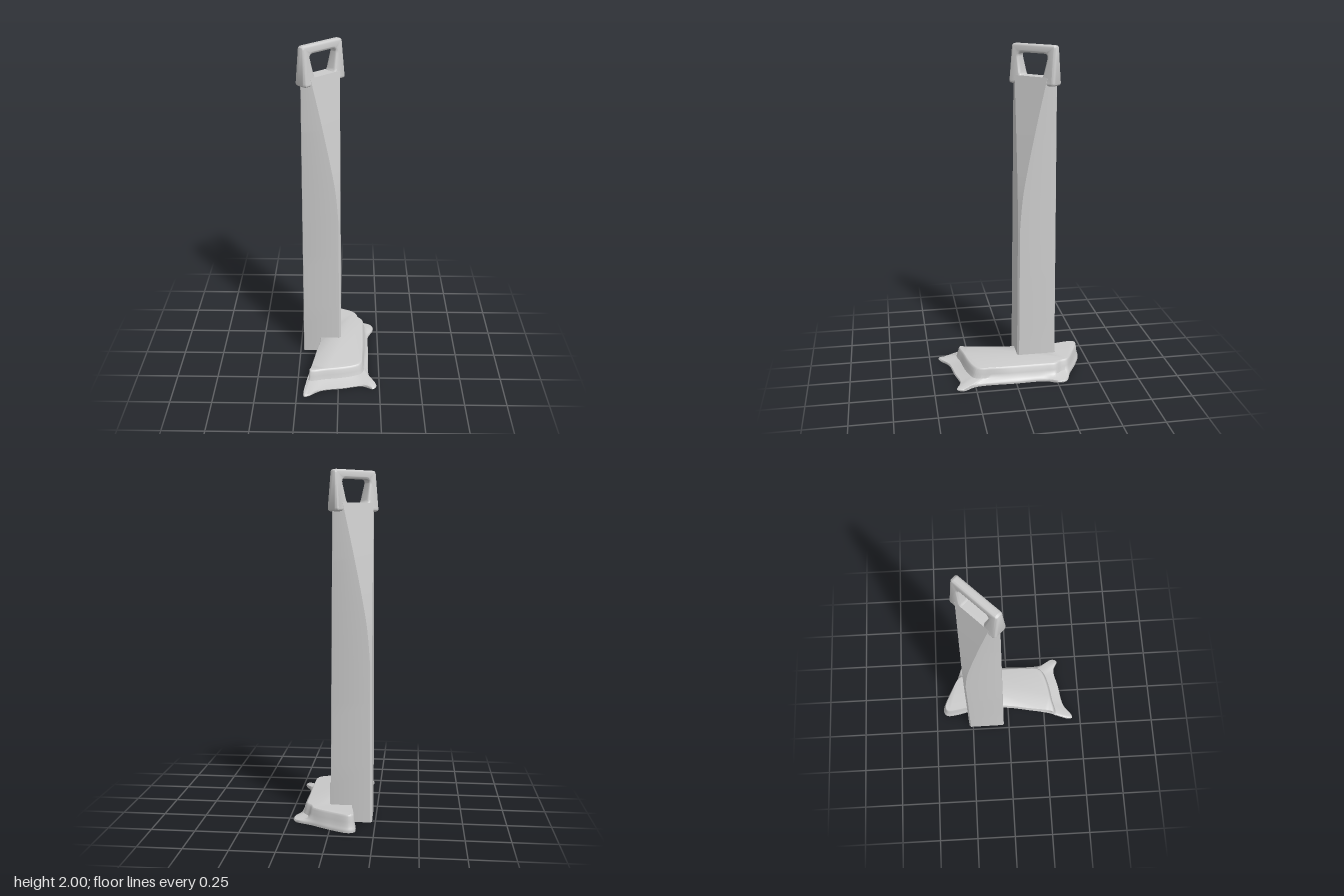
import * as THREE from 'three';
import { mergeVertices, toCreasedNormals } from 'three/addons/utils/BufferGeometryUtils.js';

const material = new THREE.MeshStandardMaterial({ color: 0xcccccc, side: THREE.DoubleSide });

// Joins equal-length rings (ordered x towards z, outer side out) and caps both ends.
function loft(rings, crease) {
  const pos = [];
  const tri = (a, b, c) => pos.push(...a.toArray(), ...b.toArray(), ...c.toArray());
  const n = rings[0].length;
  for (let r = 0; r < rings.length - 1; r++) {
    for (let i = 0; i < n; i++) {
      const j = (i + 1) % n;
      const a = rings[r][i], b = rings[r][j], c = rings[r + 1][i], d = rings[r + 1][j];
      tri(a, c, b);
      tri(b, c, d);
    }
  }
  const cap = (ring, up) => {
    const flat = ring.map(p => new THREE.Vector2(p.x, p.z));
    for (const [i, j, k] of THREE.ShapeUtils.triangulateShape(flat, [])) {
      const a = ring[i], b = ring[j], c = ring[k];
      const ny = (b.z - a.z) * (c.x - a.x) - (b.x - a.x) * (c.z - a.z);
      if ((ny > 0) === up) tri(a, b, c); else tri(a, c, b);
    }
  };
  cap(rings[0], false);
  cap(rings[rings.length - 1], true);
  const geo = new THREE.BufferGeometry();
  geo.setAttribute('position', new THREE.Float32BufferAttribute(pos, 3));
  return toCreasedNormals(mergeVertices(geo, 1e-5), crease);
}

function mesh(name, geo) {
  const m = new THREE.Mesh(geo, material);
  m.name = name;
  return m;
}

// Square post whose two opposite corners are cut back by a curved slope.
function makePost() {
  const slope = [[0, 0.17], [0.7, 0.165], [0.9, 0.157], [1.12, 0.143], [1.3, 0.121],
    [1.44, 0.101], [1.6, 0.077], [1.82, 0.042]];
  const curve = new THREE.SplineCurve(slope.map(([y, w]) => new THREE.Vector2(y, w)));
  const rings = curve.getPoints(42).map(({ x: y, y: w0 }) => {
    const d = 0.171 - 0.008 * y;
    const w = Math.min(w0, d - 0.008);
    const e = 0.009;
    const quarter = [[d - e * 0.6, 0], [d - e, e * 0.8], [d - w, w]];
    const half = [...quarter, ...quarter.slice(1).reverse().map(([u, v]) => [-u, v])];
    const all = [...half, ...half.map(([u, v]) => [-u, -v])];
    return all.map(([u, v]) => new THREE.Vector3(u, y, v));
  });
  return mesh('post', loft(rings, 0.55));
}

// Rounded polygon path
function rounded(path, pts, r) {
  const v = pts.map(p => new THREE.Vector2(...p));
  v.forEach((p, i) => {
    const before = v[(i + v.length - 1) % v.length], after = v[(i + 1) % v.length];
    const a = p.clone().add(before.clone().sub(p).setLength(r));
    const b = p.clone().add(after.clone().sub(p).setLength(r));
    if (i) path.lineTo(a.x, a.y); else path.moveTo(a.x, a.y);
    path.quadraticCurveTo(p.x, p.y, b.x, b.y);
  });
  path.closePath();
  return path;
}

// Grip slab with a hand hole, thinning towards the top.
function makeHandle() {
  const shape = rounded(new THREE.Shape(),
    [[-0.158, 1.77], [0.158, 1.77], [0.152, 2], [-0.152, 2]], 0.02);
  shape.holes.push(rounded(new THREE.Path(),
    [[-0.104, 1.95], [0.104, 1.95], [0.074, 1.81], [-0.074, 1.81]], 0.03));
  const geo = new THREE.ExtrudeGeometry(shape, {
    depth: 1, bevelThickness: 0.5, bevelSize: 0.014, bevelOffset: -0.014,
    bevelSegments: 4, curveSegments: 8,
  });
  geo.translate(0, 0, -0.5);
  const p = geo.attributes.position;
  for (let i = 0; i < p.count; i++) {
    const half = THREE.MathUtils.mapLinear(p.getY(i), 1.8, 2, 0.044, 0.022);
    p.setZ(i, p.getZ(i) * half);
  }
  geo.deleteAttribute('normal');
  geo.deleteAttribute('uv');
  return mesh('handle', toCreasedNormals(mergeVertices(geo, 1e-5), 0.9));
}

// Hollow raised foot with a low flange, open along its -x side.
function makeBase() {
  // outer x, z; platform x, z; height of the lower edge
  const outline = [
    [-0.205, 0.445, -0.172, 0.305, 0], [-0.18, 0.44, -0.15, 0.307, 0],
    [-0.11, 0.39, -0.08, 0.292, 0], [0.03, 0.363, 0.02, 0.274, 0],
    [0.15, 0.34, 0.09, 0.255, 0], [0.215, 0.367, 0.125, 0.235, 0],
    [0.232, 0.335, 0.14, 0.205, 0], [0.19, 0.25, 0.145, 0.16, 0],
    [0.188, 0, 0.145, 0, 0], [0.19, -0.18, 0.145, -0.18, 0],
    [0.222, -0.255, 0.143, -0.25, 0], [0.215, -0.305, 0.115, -0.285, 0],
    [0.11, -0.352, 0.095, -0.335, 0], [0, -0.412, -0.01, -0.392, 0],
    [-0.11, -0.452, -0.108, -0.432, 0], [-0.144, -0.43, -0.13, -0.418, 0],
    [-0.14, -0.35, -0.126, -0.35, 0], [-0.128, -0.285, -0.115, -0.285, 0.01],
    [-0.125, -0.15, -0.115, -0.15, 0.07], [-0.127, 0, -0.12, 0, 0.07],
    [-0.15, 0.13, -0.142, 0.13, 0.07], [-0.178, 0.28, -0.168, 0.285, 0.06],
    [-0.21, 0.42, -0.175, 0.298, 0],
  ].reverse();
  const closed = f => new THREE.CatmullRomCurve3(outline.map(f), true, 'centripetal').getPoints(160).slice(0, -1);
  const outer = closed(o => new THREE.Vector3(o[0], o[4], o[1]));
  const inner = closed(o => new THREE.Vector3(o[2], 0, o[3]));

  // Distance rule, height: underside, bottom edge, flange, wall, top
  const foot = len => Math.min(0.024, len * 0.6);
  const section = [
    [() => 0, 0.078], [len => foot(len) * 0.5, 0.07], [len => foot(len), 0.015],
    [len => len * 0.95, 0], [len => len, 0.008], [len => len * 0.95, 0.017],
    [len => (foot(len) + len) / 2, 0.024], [len => foot(len), 0.036],
    [len => foot(len) * 0.65, 0.06], [len => foot(len) * 0.4, 0.088],
    [len => foot(len) * 0.15, 0.098], [() => 0, 0.1],
  ];
  const rings = section.map(([rule, y]) => inner.map((p, i) => {
    const o = outer[i];
    const lift = THREE.MathUtils.clamp(o.y, 0, 0.075);
    const dx = o.x - p.x, dz = o.z - p.z;
    const len = Math.hypot(dx, dz);
    const t = rule(len) / Math.max(len, 1e-6);
    return new THREE.Vector3(p.x + dx * t, lift + y * (1 - lift / 0.1), p.z + dz * t);
  }));
  return mesh('base', loft(rings, 0.8));
}

export function createModel() {
  const model = new THREE.Group();
  model.name = 'handledPost';

  // Upright set diagonally: the ridge runs from back left to front right.
  const upright = new THREE.Group();
  upright.name = 'upright';
  upright.add(makePost(), makeHandle());
  upright.rotation.y = Math.PI / 4;
  upright.position.set(-0.11, 0, -0.155);

  model.add(upright, makeBase());
  return model;
}
